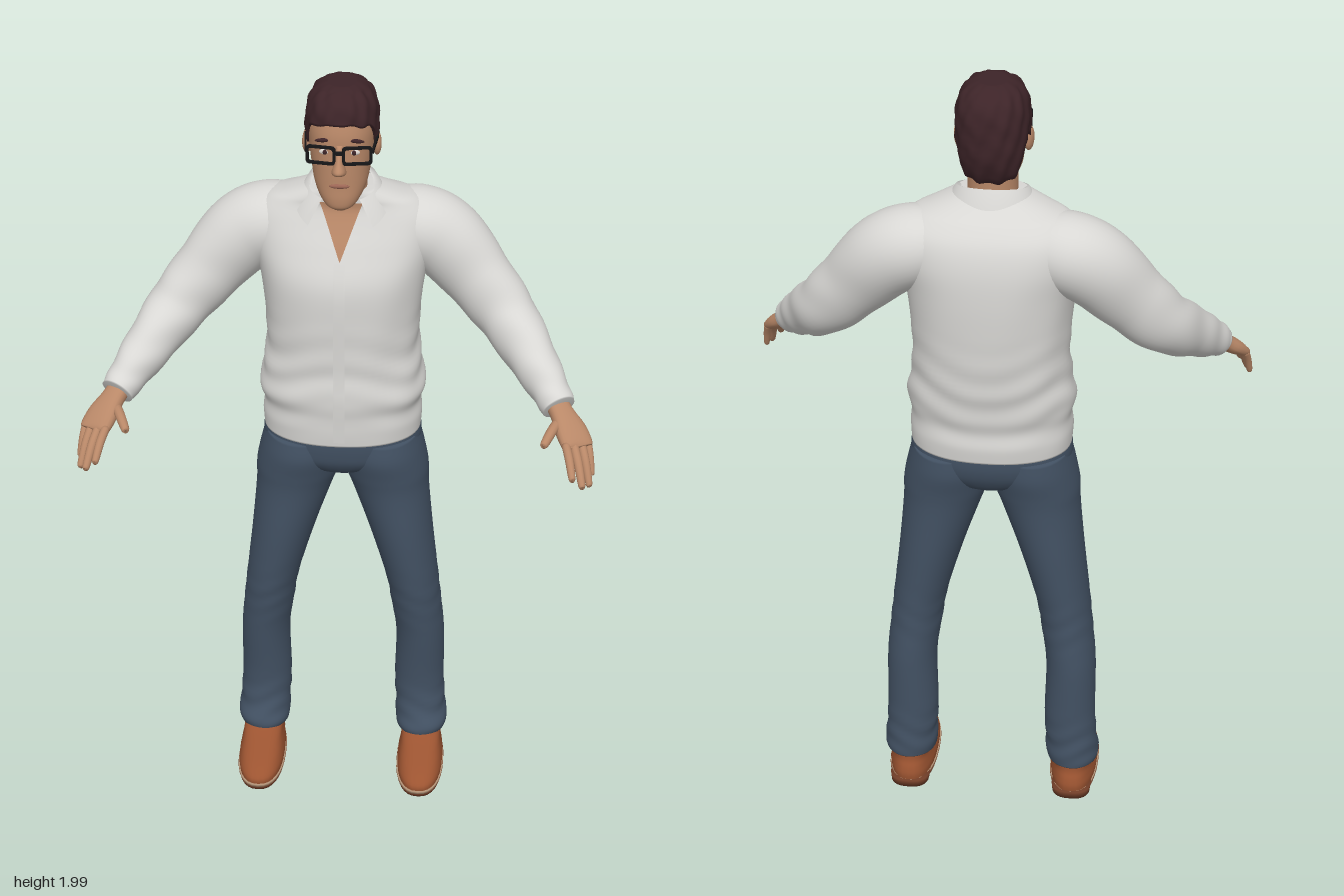
import * as THREE from 'three';

const mat = (name, color, side = THREE.FrontSide) => {
  const m = new THREE.MeshStandardMaterial({ color, side });
  m.name = name;
  return m;
};

// Catmull-Rom blend of number rows at t in 0..1
function sample(rows, t) {
  const f = t * (rows.length - 1), i = Math.min(Math.floor(f), rows.length - 2), u = f - i;
  const r = (k) => rows[Math.max(0, Math.min(rows.length - 1, k))];
  return rows[i].map((_, c) => {
    const [a, b, d, e] = [r(i - 1)[c], r(i)[c], r(i + 1)[c], r(i + 2)[c]];
    return b + 0.5 * u * (d - a + u * (2 * a - 5 * b + 4 * d - e + u * (3 * (b - d) + e - a)));
  });
}

// Capped skin over a grid of rings; rings run anticlockwise from +x to +z
function skinRings(rings) {
  const n = rings[0].length, pos = rings.flat().flatMap((p) => p.toArray()), idx = [];
  for (let j = 0; j < rings.length - 1; j++)
    for (let i = 0; i < n; i++) {
      const k = (i + 1) % n, a = j * n + i, b = j * n + k;
      idx.push(a, a + n, b, b, a + n, b + n);
    }
  [0, rings.length - 1].forEach((j, end) => {
    const c = rings[j].reduce((s, p) => s.add(p), new THREE.Vector3()).divideScalar(n);
    const m = pos.length / 3;
    pos.push(c.x, c.y, c.z);
    for (let i = 0; i < n; i++) {
      const a = j * n + i, b = j * n + (i + 1) % n;
      end ? idx.push(a, m, b) : idx.push(a, b, m);
    }
  });
  return surface(pos, idx);
}

function surface(pos, idx) {
  const g = new THREE.BufferGeometry();
  g.setAttribute('position', new THREE.Float32BufferAttribute(pos, 3));
  g.setIndex(idx);
  g.computeVertexNormals();
  return g;
}

// Rows of [x, y, z, radiusA, radiusB]; level rings, or rings square to the path
function loft(rows, { along = false, n = 32, steps = 6, pow = 2, fold = () => 0 } = {}) {
  if (!along && rows[0][1] > rows[rows.length - 1][1]) rows = [...rows].reverse();
  const count = (rows.length - 1) * steps, Y = new THREE.Vector3(0, 1, 0), rings = [];
  const at = (t) => new THREE.Vector3(...sample(rows, Math.max(0, Math.min(1, t))).slice(0, 3));
  for (let j = 0; j <= count; j++) {
    const t = j / count, r = sample(rows, t), c = at(t);
    const T = along ? at(t + 0.01).sub(at(t - 0.01)).normalize() : Y;
    const N = along ? Y.clone().cross(T).normalize() : new THREE.Vector3(1, 0, 0);
    const B = N.clone().cross(T);
    rings.push(Array.from({ length: n }, (_, i) => {
      const a = (i / n) * Math.PI * 2, s = 1 + fold(a, t, c);
      const q = (v) => Math.sign(v) * Math.abs(v) ** (2 / pow);
      return c.clone().addScaledVector(N, q(Math.cos(a)) * r[3] * s).addScaledVector(B, q(Math.sin(a)) * r[4] * s);
    }));
  }
  return skinRings(rings);
}

export function createModel() {
  const model = new THREE.Group();
  const skin = mat('skin', 0xb98868), shirt = mat('shirt', 0xd8d7d4), denim = mat('denim', 0x435264);
  const hair = mat('hair', 0x3d2428), leather = mat('leather', 0x9c5431), sole = mat('sole', 0x6f3d27);
  const welt = mat('welt', 0xb39377), frame = mat('frame', 0x161618), white = mat('eyeWhite', 0xd9d2cb);
  const lip = mat('lip', 0x9c6655), collarCloth = mat('collarCloth', 0xd8d7d4, THREE.DoubleSide);
  const add = (name, geo, m, parent = model) => {
    const o = new THREE.Mesh(geo, m);
    o.name = name;
    parent.add(o);
    return o;
  };
  const ray = new THREE.Raycaster();
  const drape = (mesh, x, y) => {
    ray.set(new THREE.Vector3(x, y, 2), new THREE.Vector3(0, 0, -1));
    const hit = ray.intersectObject(mesh)[0];
    return hit ? hit.point.z : 0;
  };
  // Thin patch laid on the front of a mesh between two x limits
  const patch = (name, mesh, m, y0, y1, left, right, lift) => {
    const pos = [], idx = [], nu = 6, nv = 14;
    for (let j = 0; j <= nv; j++)
      for (let i = 0; i <= nu; i++) {
        const y = y0 + ((y1 - y0) * j) / nv, x = left(y) + ((right(y) - left(y)) * i) / nu;
        pos.push(x, y, drape(mesh, x, y) + lift);
        if (i < nu && j < nv) {
          const a = j * (nu + 1) + i, b = a + nu + 1;
          idx.push(a, a + 1, b, a + 1, b + 1, b);
        }
      }
    return add(name, surface(pos, idx), m);
  };
  const ball = (name, m, x, y, z, sx, sy, sz) => {
    const o = add(name, new THREE.SphereGeometry(1, 20, 14), m);
    o.position.set(x, y, z);
    o.scale.set(sx, sy, sz);
    return o;
  };

  // Shirt body, with soft folds and a bloused waist
  const torso = add('shirtBody', loft([
    [0, 1.06, -0.105, 0.198, 0.143], [0, 1.1, -0.105, 0.2, 0.146], [0, 1.14, -0.103, 0.197, 0.144],
    [0, 1.18, -0.103, 0.206, 0.15], [0, 1.23, -0.108, 0.2, 0.15], [0, 1.3, -0.113, 0.19, 0.153],
    [0, 1.4, -0.115, 0.193, 0.157], [0, 1.5, -0.118, 0.205, 0.156], [0, 1.58, -0.13, 0.225, 0.138],
    [0, 1.64, -0.135, 0.225, 0.115], [0, 1.68, -0.128, 0.19, 0.092], [0, 1.7, -0.115, 0.145, 0.08],
    [0, 1.725, -0.1, 0.085, 0.066],
  ], {
    n: 64, pow: 2.25,
    fold: (a, t, c) => {
      const w = Math.max(0, 1 - Math.abs(c.y - 1.25) / 0.17);
      return 0.016 * w * Math.sin(c.y * 75 + 2 * Math.sin(a * 3)) + 0.007 * Math.sin(a * 9 + c.y * 12) * Math.min(1, 4 * t) * (1 - t);
    },
  }), shirt);
  const vee = (y) => (0.052 * (y - 1.565)) / 0.135;
  patch('openNeck', torso, skin, 1.567, 1.7, (y) => -vee(y), vee, 0.004);
  patch('placket', torso, shirt, 1.075, 1.565, () => -0.014, () => 0.014, 0.003);

  // Folded collar, open at the front
  const cp = [], ci = [], cn = 40;
  for (let i = 0; i <= cn; i++) {
    const a = 0.55 + ((Math.PI * 2 - 1.1) * i) / cn, f = (1 + Math.cos(a)) / 2, s = Math.sin(a), c = Math.cos(a);
    const tip = f ** 4;
    cp.push(s * 0.074, 1.75 - 0.045 * f, -0.09 + c * 0.066);
    cp.push(s * 0.086, 1.755 - 0.045 * f, -0.09 + c * 0.076);
    cp.push(s * (0.108 + 0.055 * tip), 1.695 - 0.062 * tip, -0.1 + c * (0.09 + 0.024 * tip));
    for (let k = 0; k < 2 && i < cn; k++) {
      const o = i * 3 + k;
      ci.push(o, o + 1, o + 3, o + 1, o + 4, o + 3);
    }
  }
  add('collar', surface(cp, ci), collarCloth);

  // Trousers seat
  add('trouserSeat', loft([
    [0, 0.935, -0.105, 0.03, 0.04], [0, 0.955, -0.105, 0.1, 0.095], [0, 0.99, -0.105, 0.185, 0.124],
    [0, 1.03, -0.107, 0.2, 0.136], [0, 1.075, -0.107, 0.196, 0.139],
  ], { n: 48, pow: 2.2 }), denim);

  for (const s of [1, -1]) {
    const side = s > 0 ? 'left' : 'right';
    const flip = (rows) => rows.map(([x, ...r]) => [x * s, ...r]);

    // Trouser leg, creased at knee and ankle
    add(side + 'TrouserLeg', loft(flip([
      [0.1, 1.05, -0.107, 0.095, 0.13], [0.102, 1, -0.105, 0.106, 0.132], [0.112, 0.94, -0.105, 0.108, 0.12],
      [0.124, 0.88, -0.106, 0.098, 0.112], [0.152, 0.75, -0.106, 0.082, 0.105], [0.182, 0.6, -0.108, 0.069, 0.092],
      [0.196, 0.5, -0.114, 0.066, 0.083], [0.207, 0.4, -0.123, 0.064, 0.076], [0.207, 0.25, -0.13, 0.066, 0.064],
      [0.212, 0.16, -0.126, 0.067, 0.067], [0.215, 0.115, -0.118, 0.07, 0.076], [0.215, 0.095, -0.118, 0.066, 0.074],
    ]), {
      n: 40, fold: (a, t, c) => {
        const w = Math.max(0, 1 - Math.abs(c.y - 0.17) / 0.11) + 0.5 * Math.max(0, 1 - Math.abs(c.y - 0.55) / 0.12);
        return 0.03 * w * Math.sin(c.y * 100 + s * 2 * Math.sin(a * 2));
      },
    }), denim);

    // Shoe
    const x = 0.216 * s;
    add(side + 'ShoeUpper', loft([
      [x, 0.016, -0.047, 0.06, 0.147], [x, 0.035, -0.049, 0.061, 0.147], [x, 0.055, -0.062, 0.057, 0.13],
      [x, 0.075, -0.085, 0.053, 0.1], [x, 0.1, -0.115, 0.052, 0.068], [x, 0.13, -0.12, 0.048, 0.06],
    ], { pow: 2.4, steps: 4 }), leather);
    add(side + 'ShoeWelt', loft([[x, 0.013, -0.045, 0.063, 0.15], [x, 0.02, -0.045, 0.063, 0.15]],
      { pow: 2.4, steps: 1 }), welt);
    add(side + 'ShoeSole', loft([[x, 0.003, -0.047, 0.061, 0.149], [x, 0.014, -0.047, 0.064, 0.152]],
      { pow: 2.4, steps: 1 }), sole);
    add(side + 'ShoeHeel', loft([[x, 0, -0.15, 0.05, 0.05], [x, 0.02, -0.15, 0.052, 0.051]],
      { pow: 2.6, steps: 1 }), sole);

    // Sleeve
    add(side + 'Sleeve', loft(flip([
      [0.11, 1.605, -0.14, 0.085, 0.08], [0.18, 1.595, -0.145, 0.1, 0.098], [0.25, 1.558, -0.14, 0.094, 0.1],
      [0.33, 1.472, -0.115, 0.076, 0.088], [0.405, 1.388, -0.075, 0.071, 0.077], [0.47, 1.318, 0.01, 0.058, 0.064],
      [0.515, 1.268, 0.075, 0.046, 0.05], [0.537, 1.243, 0.112, 0.042, 0.041],
    ]), {
      along: true, n: 36, steps: 8,
      fold: (a, t) => 0.028 * Math.sin(t * 42 + 1.6 * Math.sin(a * 2 + 1)) * Math.min(1, Math.max(0, t * 3 - 0.9)),
    }), shirt);

    // Hand with four fingers and a thumb
    const hand = new THREE.Group();
    hand.name = side + 'Hand';
    model.add(hand);
    add('palm', loft(flip([
      [0.52, 1.262, 0.085, 0.03, 0.024], [0.543, 1.236, 0.122, 0.03, 0.021], [0.565, 1.208, 0.152, 0.04, 0.021],
      [0.582, 1.184, 0.178, 0.041, 0.016], [0.587, 1.176, 0.187, 0.036, 0.01],
    ]), { along: true, n: 20, steps: 4, pow: 2.4 }), skin, hand);
    const digit = (name, a, b, r, lift) => {
      const m = a.map((v, i) => (v + b[i]) / 2 + (i === 1 ? lift : 0));
      const q = a.map((v, i) => v * 0.06 + b[i] * 0.94);
      add(name, loft(flip([[...a, r, r], [...m, r, r], [...q, r * 0.8, r * 0.8], [...b, r * 0.3, r * 0.3]]),
        { along: true, n: 12, steps: 4 }), skin, hand);
    };
    digit('indexFinger', [0.555, 1.188, 0.192], [0.573, 1.136, 0.272], 0.0105, 0.008);
    digit('middleFinger', [0.574, 1.185, 0.183], [0.598, 1.112, 0.265], 0.011, 0.008);
    digit('ringFinger', [0.593, 1.182, 0.173], [0.616, 1.1, 0.236], 0.0105, 0.008);
    digit('littleFinger', [0.609, 1.182, 0.162], [0.622, 1.108, 0.198], 0.009, 0.006);
    digit('thumb', [0.54, 1.222, 0.135], [0.501, 1.2, 0.224], 0.0125, 0.004);
  }

  // Neck and head
  add('neck', loft([[0, 1.62, -0.1, 0.066, 0.06], [0, 1.71, -0.088, 0.06, 0.06], [0, 1.82, -0.085, 0.06, 0.065]],
    { steps: 5 }), skin);
  const head = add('head', loft([
    [0, 1.704, 0.002, 0.016, 0.014], [0, 1.714, -0.006, 0.034, 0.032], [0, 1.735, -0.02, 0.05, 0.049],
    [0, 1.765, -0.037, 0.063, 0.065], [0, 1.8, -0.052, 0.07, 0.08], [0, 1.85, -0.065, 0.077, 0.092],
    [0, 1.9, -0.073, 0.079, 0.098], [0, 1.95, -0.08, 0.068, 0.088], [0, 1.98, -0.08, 0.035, 0.05],
  ], { n: 40, pow: 2.2 }), skin);
  add('nose', loft([
    [0, 1.802, 0.026, 0.008, 0.008], [0, 1.81, 0.036, 0.017, 0.021], [0, 1.821, 0.042, 0.016, 0.027],
    [0, 1.842, 0.034, 0.01, 0.02], [0, 1.875, 0.022, 0.008, 0.01],
  ], { n: 20 }), skin);
  ball('mouth', lip, 0, 1.772, drape(head, 0, 1.772) - 0.001, 0.024, 0.006, 0.005);

  for (const s of [1, -1]) {
    const z = drape(head, 0.034 * s, 1.857);
    ball('ear', skin, 0.082 * s, 1.845, -0.066, 0.011, 0.031, 0.019).rotation.y = 0.3 * s;
    ball('eye', white, 0.034 * s, 1.856, z - 0.001, 0.014, 0.007, 0.005);
    ball('iris', hair, 0.034 * s, 1.856, z + 0.002, 0.006, 0.006, 0.003);
    ball('eyebrow', hair, 0.036 * s, 1.885, drape(head, 0.036 * s, 1.885), 0.022, 0.005, 0.005).rotation.z = -0.08 * s;
  }

  // Short hair: cap from an uneven hairline up to the crown
  const line = [1.925, 1.92, 1.915, 1.9, 1.84, 1.875, 1.8, 1.775, 1.768, 1.765].map((y) => [y]);
  const hairRings = [];
  for (let j = 0; j <= 22; j++)
    hairRings.push(Array.from({ length: 72 }, (_, i) => {
      const a = (i / 72) * Math.PI * 2, back = Math.abs(Math.atan2(Math.cos(a), Math.sin(a))) / Math.PI;
      const y0 = sample(line, back)[0], y = y0 + (1.994 - y0) * Math.sin((Math.max(0, j - 1) / 21) * Math.PI / 2);
      const up = Math.max(0, (y - 1.885) / 0.112), low = Math.max(0, (1.86 - y) / 0.1);
      const clump = 1 + 0.018 * Math.sin(a * 13 + y * 60) + 0.014 * Math.sin(a * 7 - y * 110);
      const k = Math.max(0, 1 - up ** 3) ** (1 / 2.6) * (j === 0 ? 0.86 : 1) * clump;
      const q = (v) => Math.sign(v) * Math.abs(v) ** 0.88;
      return new THREE.Vector3(q(Math.cos(a)) * 0.087 * k * (1 - 0.14 * low), y + 0.003 * Math.sin(a * 11) * (j > 15 ? 0 : 1),
        -0.08 + q(Math.sin(a)) * 0.109 * k * (1 - 0.32 * low * low));
    }));
  add('hair', skinRings(hairRings), hair);

  // Glasses: two rims, a bridge and two temples
  const glasses = new THREE.Group();
  glasses.name = 'glasses';
  model.add(glasses);
  const rounded = (P, w, h, r) => {
    const p = new P();
    p.moveTo(-w + r, -h).lineTo(w - r, -h).quadraticCurveTo(w, -h, w, -h + r).lineTo(w, h - r);
    p.quadraticCurveTo(w, h, w - r, h).lineTo(-w + r, h).quadraticCurveTo(-w, h, -w, h - r);
    p.lineTo(-w, -h + r).quadraticCurveTo(-w, -h, -w + r, -h);
    return p;
  };
  const rim = rounded(THREE.Shape, 0.035, 0.023, 0.01);
  rim.holes.push(rounded(THREE.Path, 0.029, 0.017, 0.007));
  const rimGeo = new THREE.ExtrudeGeometry(rim, { depth: 0.007, bevelEnabled: false });
  for (const s of [1, -1]) {
    const r = add('rim', rimGeo, frame, glasses);
    r.position.set(0.042 * s, 1.857, 0.036);
    r.rotation.y = 0.16 * s;
    const temple = add('temple', new THREE.BoxGeometry(0.005, 0.009, 0.105), frame, glasses);
    temple.position.set(0.082 * s, 1.867, -0.016);
    temple.rotation.y = -0.08 * s;
  }
  add('bridge', new THREE.BoxGeometry(0.022, 0.007, 0.008), frame, glasses).position.set(0, 1.864, 0.045);
  return model;
}
